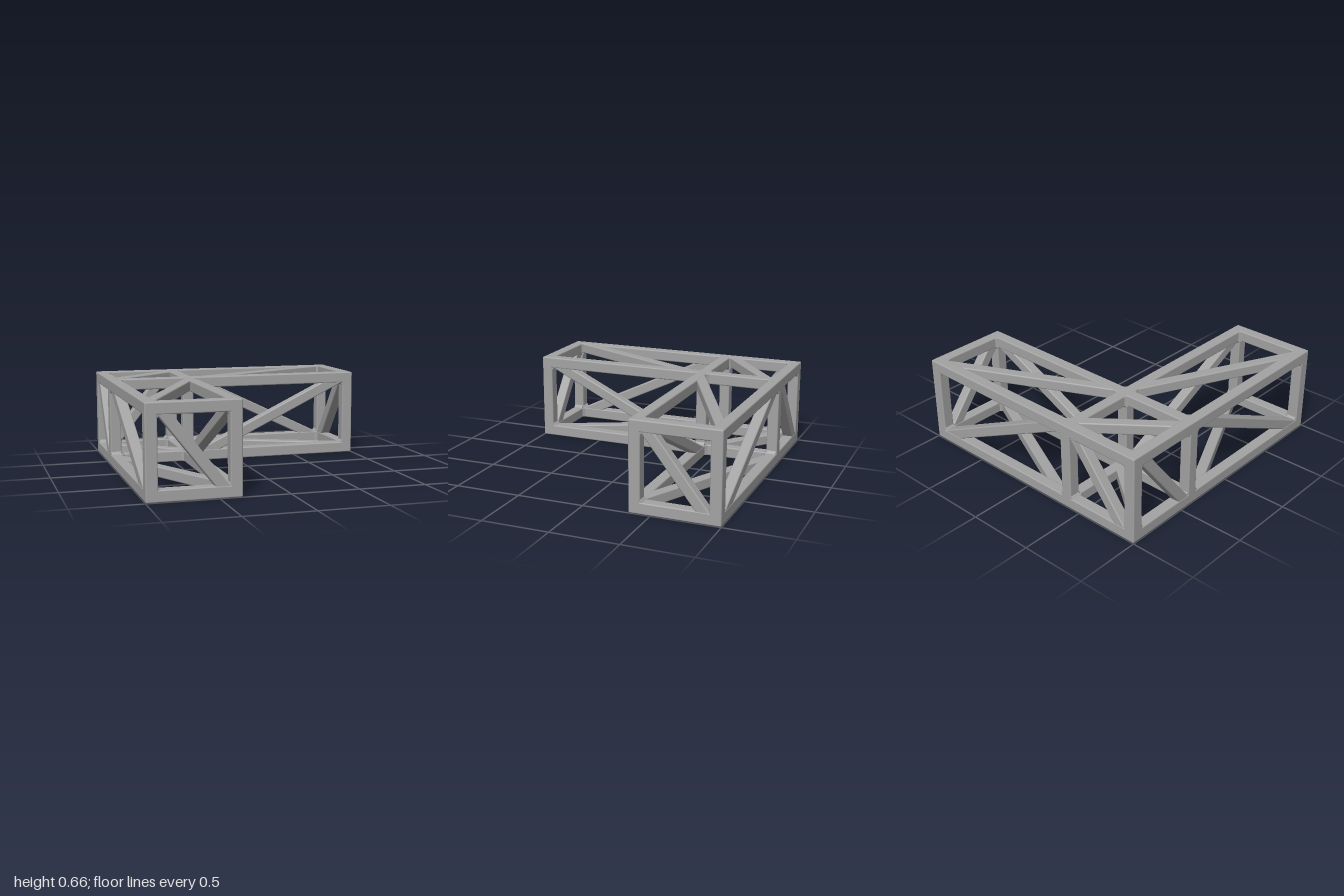
import * as THREE from 'three';
import { RoundedBoxGeometry } from 'three/addons/geometries/RoundedBoxGeometry.js';

const T = 0.085;                       // frame bar thickness
const A = -0.957, M = -0.382, P = 0.957; // bar centre lines in plan
const LOW = 0.043, TOP = 0.621;        // bar centre heights
const V = (x, y, z) => new THREE.Vector3(x, y, z);

export function createModel() {
  const root = new THREE.Group();
  const steel = new THREE.MeshStandardMaterial({ color: 0xa3a3a3 });
  steel.name = 'grey metal';

  // Square bar between two points; "flat" is the normal of one of its sides
  function bar(name, a, b, flat, width, depth, extend, radius) {
    const dir = b.clone().sub(a);
    const length = dir.length() + extend * 2;
    dir.normalize();
    const mesh = new THREE.Mesh(new RoundedBoxGeometry(width, length, depth, 2, radius), steel);
    const side = new THREE.Vector3().crossVectors(dir, flat);
    mesh.quaternion.setFromRotationMatrix(new THREE.Matrix4().makeBasis(side, dir, flat));
    mesh.position.copy(a).add(b).multiplyScalar(0.5);
    mesh.name = name;
    root.add(mesh);
  }
  const X = V(1, 0, 0), Y = V(0, 1, 0), Z = V(0, 0, 1);
  const beam = (name, a, b, flat) => bar(name, a, b, flat, T, T, T / 2, 0.01);
  const brace = (name, a, b, flat) => bar(name, a, b, flat, 0.08, 0.08, 0, 0.01);

  // Horizontal rails of the L-shaped frame, bottom and top
  for (const y of [LOW, TOP]) {
    const level = y === LOW ? 'bottom' : 'top';
    for (const [c, end] of [[A, P], [M, P], [P, M]]) {
      beam(level + 'CrossRail', V(A, y, c), V(end, y, c), Y);
      beam(level + 'LongRail', V(c, y, A), V(c, y, end), Y);
    }
  }

  // Posts and small corner gussets at every node
  const line = [A, M, P];
  const inside = (x, z) => line.includes(x) && line.includes(z) && !(x === P && z === P);
  for (const x of line) for (const z of line) {
    if (!inside(x, z)) continue;
    beam('post', V(x, LOW, z), V(x, TOP, z), Z);
    const i = line.indexOf(x), k = line.indexOf(z);
    const xs = [-1, 1].filter((s) => inside(line[i + s], z));
    const zs = [-1, 1].filter((s) => inside(x, line[k + s]));
    for (const y of [LOW, TOP]) {
      const up = y === LOW ? 1 : -1;
      const node = V(x, y, z);
      const gusset = (d, flat) => bar('gusset', node,
        node.clone().addScaledVector(d.normalize(), 0.074), flat, 0.03, 0.075, 0, 0.002);
      for (const sx of xs) gusset(V(sx, up, 0), Z);
      for (const sz of zs) gusset(V(0, up, sz), X);
      for (const sx of xs) for (const sz of zs) gusset(V(sx, 0, sz), Y);
    }
  }

  // Diagonal braces: ends are pulled in along the cell's length
  const S0 = -0.897, S1 = -0.444;      // corner cell
  const L0 = -0.295, L1 = 0.905;       // long cells
  // Upright faces across x: [z, low x, high x]
  for (const [z, lo, hi] of [[A, S0, S1], [P, S1, S0], [A, L1, L0], [M, L0, L1]])
    brace('uprightBrace', V(lo, LOW, z), V(hi, TOP, z), Z);
  // Upright faces across z: [x, low z, high z]
  for (const [x, lo, hi] of [[A, S1, S0], [P, S0, S1], [A, L1, L0], [M, L0, L1]])
    brace('sideBrace', V(x, LOW, lo), V(x, TOP, hi), X);
  // Top and bottom faces cross each other
  for (const [name, y, f] of [['topBrace', TOP, 0], ['bottomBrace', LOW, 1]]) {
    brace(name, V(A, y, f ? S0 : S1), V(M, y, f ? S1 : S0), Y);
    brace(name, V(L0, y, f ? A : M), V(L1, y, f ? M : A), Y);
    brace(name, V(A, y, f ? L0 : L1), V(M, y, f ? L1 : L0), Y);
  }
  return root;
}
